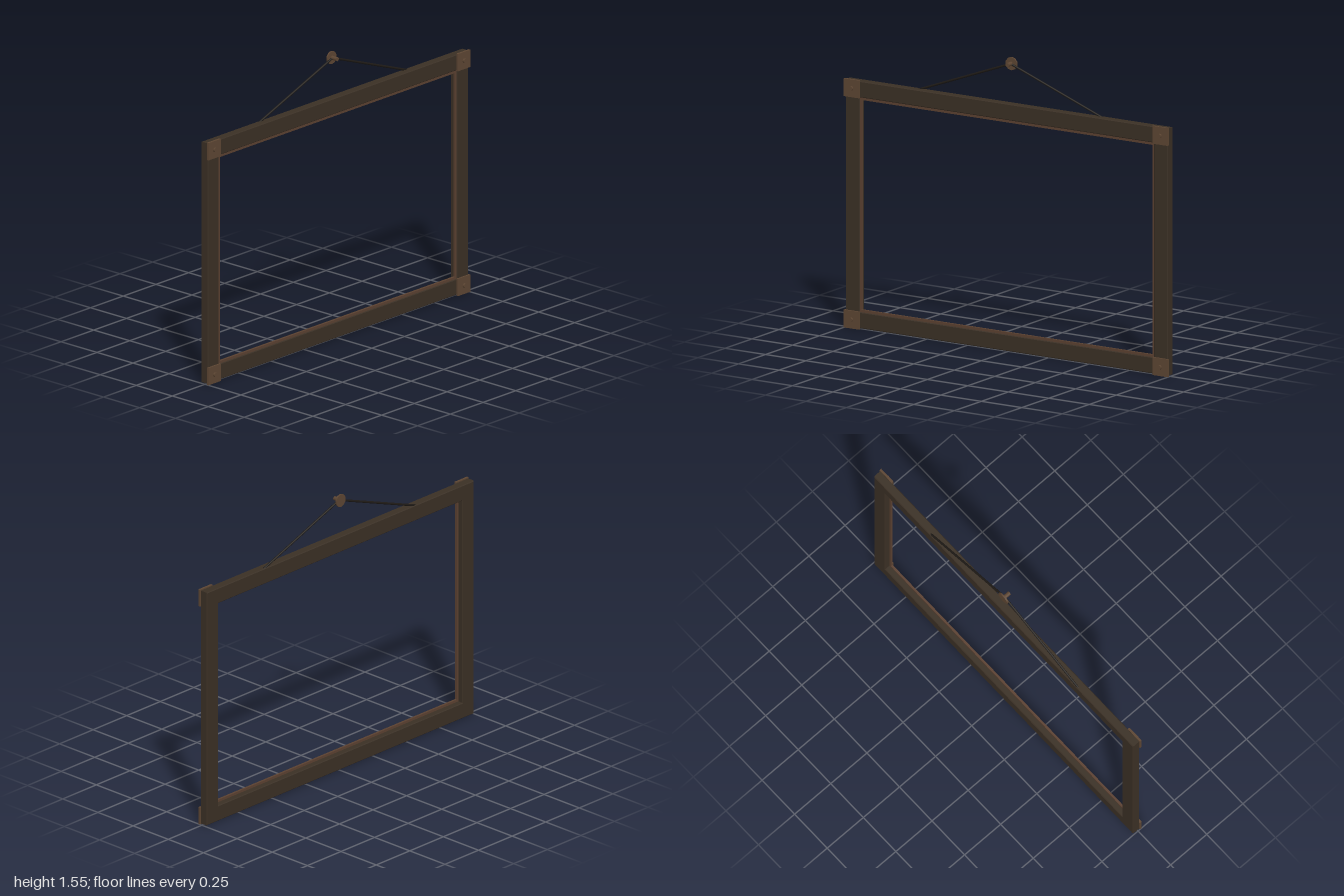
import * as THREE from 'three';

const material = (name, color) => {
  const m = new THREE.MeshStandardMaterial({ color });
  m.name = name;
  return m;
};

export function createModel() {
  const group = new THREE.Group();
  group.name = 'hangingFrame';
  const darkWood = material('dark wood', 0x3a2f24);
  const bronze = material('aged bronze', 0x5c4532);
  const lipWood = material('inner lip brown', 0x5a4030);
  const cordBlack = material('cord black', 0x1e1a16);

  const add = (name, geometry, mat, x = 0, y = 0, z = 0) => {
    const mesh = new THREE.Mesh(geometry, mat);
    mesh.name = name;
    mesh.position.set(x, y, z);
    group.add(mesh);
    return mesh;
  };

  const rect = (target, x, y) => {
    target.moveTo(-x, -y);
    target.lineTo(x, -y);
    target.lineTo(x, y);
    target.lineTo(-x, y);
    target.closePath();
    return target;
  };

  // Rectangular ring with slightly bevelled edges, spanning z0 to z1
  const ring = (ox, oy, ix, iy, z0, z1, bevel) => {
    const shape = rect(new THREE.Shape(), ox - bevel, oy - bevel);
    shape.holes.push(rect(new THREE.Path(), ix + bevel, iy + bevel));
    const g = new THREE.ExtrudeGeometry(shape, {
      depth: z1 - z0 - 2 * bevel, bevelEnabled: bevel > 0,
      bevelThickness: bevel, bevelSize: bevel, bevelSegments: 1,
    });
    return g.translate(0, 0, z0 + bevel);
  };

  const midY = 0.658;
  add('frameRails', ring(0.995, 0.653, 0.909, 0.567, -0.031, 0.016, 0.004), darkWood, 0, midY);
  add('innerLip', ring(0.911, 0.569, 0.898, 0.554, 0, 0.012, 0), lipWood, 0, midY);

  // Corner plates, each with a round stud
  for (const sx of [-1, 1]) {
    for (const sy of [-1, 1]) {
      const x = sx * 0.953, y = midY + sy * 0.611;
      add('cornerPlate', new THREE.BoxGeometry(0.094, 0.094, 0.012), bronze, x, y, 0.019);
      const stud = new THREE.CylinderGeometry(0.012, 0.012, 0.011, 10).rotateX(Math.PI / 2);
      add('cornerStud', stud, bronze, x, y, 0.0295);
    }
  }

  // Wall hook: round backing disc and a peg pointing forward
  const hookY = 1.515;
  const disc = new THREE.CylinderGeometry(0.035, 0.035, 0.009, 10).rotateX(Math.PI / 2);
  add('hookDisc', disc, bronze, 0, hookY, -0.0305);
  const peg = new THREE.CylinderGeometry(0.011, 0.011, 0.038, 10).rotateX(Math.PI / 2);
  add('hookPeg', peg, bronze, 0, hookY, -0.008);

  // Two straight halves of the hanging cord
  for (const s of [-1, 1]) {
    const path = new THREE.LineCurve3(
      new THREE.Vector3(s * 0.57, 1.304, -0.022), new THREE.Vector3(0, hookY, -0.022));
    add('hangingCord', new THREE.TubeGeometry(path, 1, 0.006, 8), cordBlack);
  }
  return group;
}
